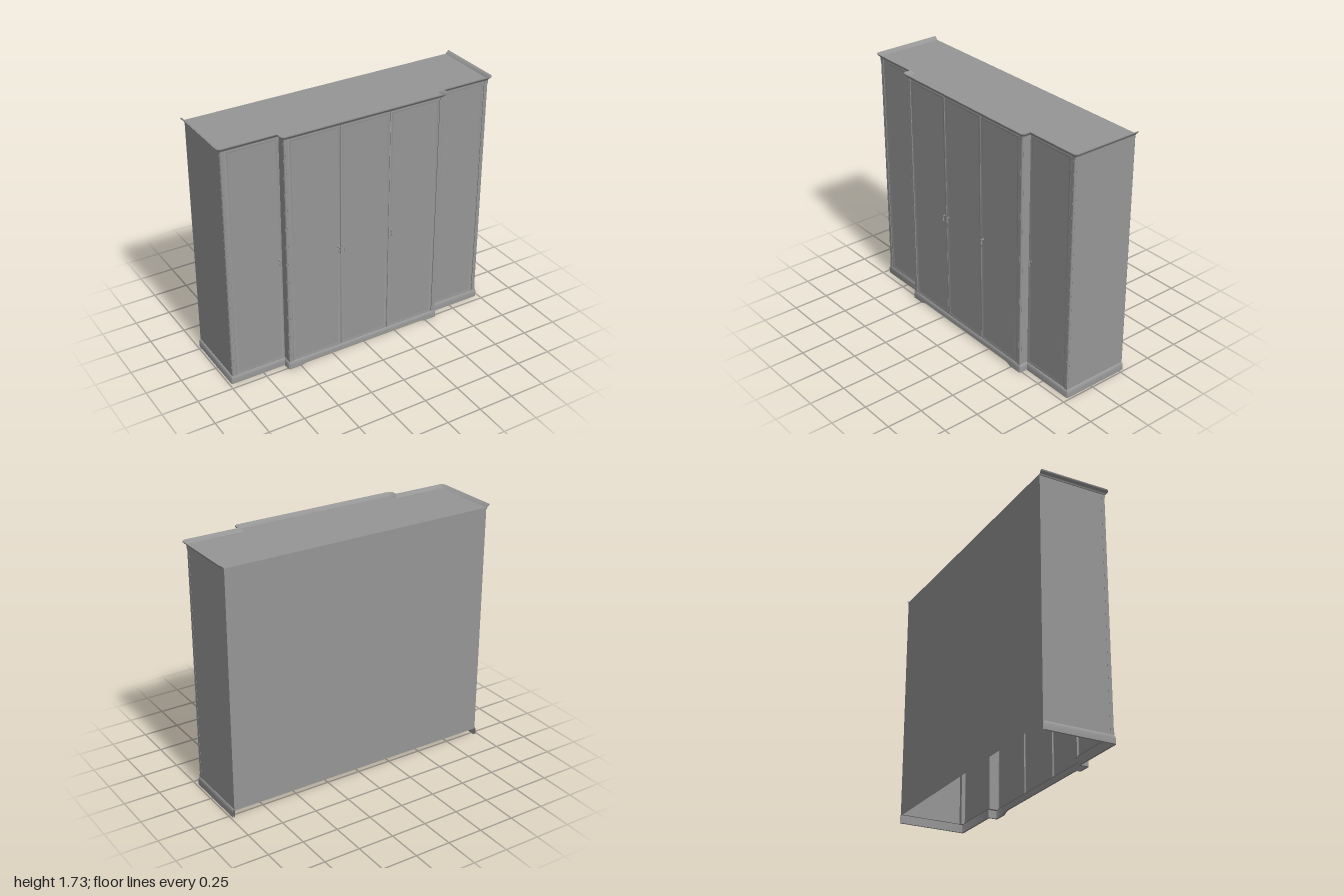
import * as THREE from 'three';
import { toCreasedNormals } from 'three/addons/utils/BufferGeometryUtils.js';

const mat = new THREE.MeshStandardMaterial({ color: 0x969696, side: THREE.DoubleSide });
const BACK = -0.28, BASE = 0.05, TOP = 1.712;
const HALF = 0.975, BAY = 0.58, WING_Z = 0.197, BAY_Z = 0.257;

function add(parent, name, geo, x = 0, y = 0, z = 0) {
  const m = new THREE.Mesh(geo, mat);
  m.name = name;
  m.position.set(x, y, z);
  parent.add(m);
}

// Sweeps a profile of [outward offset, y] along a plan path of [x, z, lift] with mitred corners.
// Profile points at y = 0 are raised by the path's lift.
function sweep(path, profile, closed = false) {
  const n = path.length;
  const normal = (a, b) => {
    const dx = b[0] - a[0], dz = b[1] - a[1], l = Math.hypot(dx, dz);
    return [-dz / l, dx / l];
  };
  const rings = path.map((p, i) => {
    const prev = path[i - 1] ?? (closed ? path[n - 1] : null);
    const next = path[i + 1] ?? (closed ? path[0] : null);
    const n1 = prev ? normal(prev, p) : normal(p, next);
    const n2 = next ? normal(p, next) : n1;
    const k = 1 + n1[0] * n2[0] + n1[1] * n2[1];
    const mx = (n1[0] + n2[0]) / k, mz = (n1[1] + n2[1]) / k;
    return profile.map(([o, y]) => [p[0] + mx * o, y === 0 ? (p[2] ?? 0) : y, p[1] + mz * o]);
  });
  const pos = [];
  for (let i = 0; i < (closed ? n : n - 1); i++) {
    const A = rings[i], B = rings[(i + 1) % n];
    for (let j = 0; j < profile.length - 1; j++) {
      pos.push(...A[j], ...B[j], ...B[j + 1], ...A[j], ...B[j + 1], ...A[j + 1]);
    }
  }
  const g = new THREE.BufferGeometry();
  g.setAttribute('position', new THREE.Float32BufferAttribute(pos, 3));
  return toCreasedNormals(g, 0.9);
}

// Breakfront plan: wings either side of a projecting bay, with small rounded outer corners.
function outline(r, extra = []) {
  const corner = (x, z) => [0, 1, 2, 3, 4].map(i => {
    const a = (i / 4) * Math.PI / 2;
    return [x - r + r * Math.cos(a), z - r + r * Math.sin(a)];
  });
  const right = [...extra, ...corner(BAY, BAY_Z).reverse(), [BAY, WING_Z],
    ...corner(HALF, WING_Z).reverse(), [HALF, BACK]];
  const left = right.map(([x, z, l]) => [-x, z, l]).reverse();
  return [...left, ...right];
}

// Door: soft raised rim swept around a flat panel.
function door(parent, name, x0, x1, z) {
  const g = new THREE.Group();
  g.name = name;
  const y0 = 0.056, y1 = 1.7, w = (x1 - x0) / 2 - 0.001, h = (y1 - y0) / 2;
  const rim = sweep([[-w, -h], [-w, h], [w, h], [w, -h]],
    [[0, -0.006], [0, 0.001], [-0.003, 0.003], [-0.007, 0.003], [-0.013, 0.001], [-0.02, 0]], true);
  rim.rotateX(Math.PI / 2);
  add(g, 'doorRim', rim);
  add(g, 'doorPanel', new THREE.PlaneGeometry(2 * w - 0.04, 2 * h - 0.04));
  g.position.set((x0 + x1) / 2, (y0 + y1) / 2, z);
  parent.add(g);
}

// Drop handle: rosette, short stem and hanging pendant.
function handle(parent, x, z) {
  const g = new THREE.Group();
  g.name = 'handle';
  add(g, 'rosette', new THREE.CylinderGeometry(0.007, 0.009, 0.004, 16).rotateX(Math.PI / 2), 0, 0.012, 0.002);
  add(g, 'stem', new THREE.CylinderGeometry(0.003, 0.003, 0.016, 10).rotateX(Math.PI / 2), 0, 0.012, 0.008);
  add(g, 'knuckle', new THREE.SphereGeometry(0.005, 12, 8), 0, 0.012, 0.015);
  const drop = [[0, -0.026], [0.005, -0.024], [0.0065, -0.018], [0.004, -0.008], [0.0025, 0.002], [0.003, 0.012]];
  add(g, 'pendant', new THREE.LatheGeometry(drop.map(p => new THREE.Vector2(...p)), 14), 0, 0, 0.016);
  g.position.set(x, 0.822, z);
  parent.add(g);
}

// Corner post with a notched outer corner holding a slim column, and square end blocks.
function post(parent, side, xi, xo, zb, zf) {
  const g = new THREE.Group();
  g.name = 'cornerPost';
  const y0 = 0.054, y1 = 1.706, c = 0.012;
  const plan = [[xi, zb], [xo, zb], [xo, zf - c], [xo - c, zf - c], [xo - c, zf], [xi, zf]];
  const shape = new THREE.Shape(plan.map(([x, z]) => new THREE.Vector2(side * x, -z)));
  const geo = new THREE.ExtrudeGeometry(shape, { depth: y1 - y0, bevelEnabled: false });
  add(g, 'postCore', geo.rotateX(-Math.PI / 2), 0, y0, 0);
  add(g, 'postColumn', new THREE.CylinderGeometry(0.009, 0.009, y1 - y0, 16),
    side * (xo - 0.009), (y0 + y1) / 2, zf - 0.009);
  for (const y of [y0 + 0.012, y1 - 0.012]) {
    add(g, 'postBlock', new THREE.BoxGeometry(c, 0.024, c), side * (xo - c / 2), y, zf - c / 2);
  }
  parent.add(g);
}

export function createModel() {
  const root = new THREE.Group();
  root.name = 'wardrobe';

  // Carcass: back, sides and top, standing on the plinth; the underside is open
  const wallH = TOP - BASE, wallY = (TOP + BASE) / 2;
  add(root, 'backPanel', new THREE.PlaneGeometry(2 * HALF, wallH).rotateY(Math.PI), 0, wallY, BACK);
  for (const s of [-1, 1]) {
    add(root, 'sidePanel', new THREE.PlaneGeometry(WING_Z - 0.01 - BACK, wallH).rotateY(s * Math.PI / 2),
      s * (HALF - 0.001), wallY, (WING_Z - 0.01 + BACK) / 2);
  }
  const topShape = new THREE.Shape(outline(0.004).map(([x, z]) => new THREE.Vector2(x, -z)));
  add(root, 'topPanel', new THREE.ShapeGeometry(topShape).rotateX(-Math.PI / 2), 0, TOP, 0);

  // Cornice with a raised flaring lip
  add(root, 'cornice', sweep(outline(0.004), [[-0.004, 1.7], [0.004, 1.702], [0.006, 1.708], [0.009, 1.713],
    [0.015, 1.717], [0.019, 1.722], [0.025, 1.727], [0.025, 1.733], [0.019, 1.733], [0, TOP]]));

  // Plinth, cut away between bracket feet under the bay
  const cut = [[0.43, BAY_Z, 0.02], [0.455, BAY_Z, 0.016], [0.47, BAY_Z, 0.008], [0.49, BAY_Z, 0]];
  add(root, 'plinth', sweep(outline(0.004, cut), [[-0.003, 0.056], [-0.003, 0], [0.011, 0], [0.011, 0.036],
    [0.009, 0.044], [0.006, 0.052], [0.002, 0.057], [-0.01, 0.058]]));

  // Wings: corner posts, one door and one handle each side
  for (const s of [-1, 1]) {
    post(root, s, 0.945, HALF, WING_Z - 0.025, WING_Z + 0.004);
    post(root, s, 0.552, BAY + 0.002, WING_Z - 0.01, BAY_Z + 0.005);
    door(root, 'wingDoor', s > 0 ? 0.582 : -0.945, s > 0 ? 0.945 : -0.582, WING_Z);
    handle(root, s * 0.603, WING_Z + 0.002);
  }

  // Three bay doors
  const splits = [-0.552, -0.184, 0.18, 0.552];
  for (let i = 0; i < 3; i++) door(root, 'bayDoor', splits[i], splits[i + 1], BAY_Z);
  for (const x of [-0.204, -0.164, 0.2]) handle(root, x, BAY_Z);

  return root;
}
